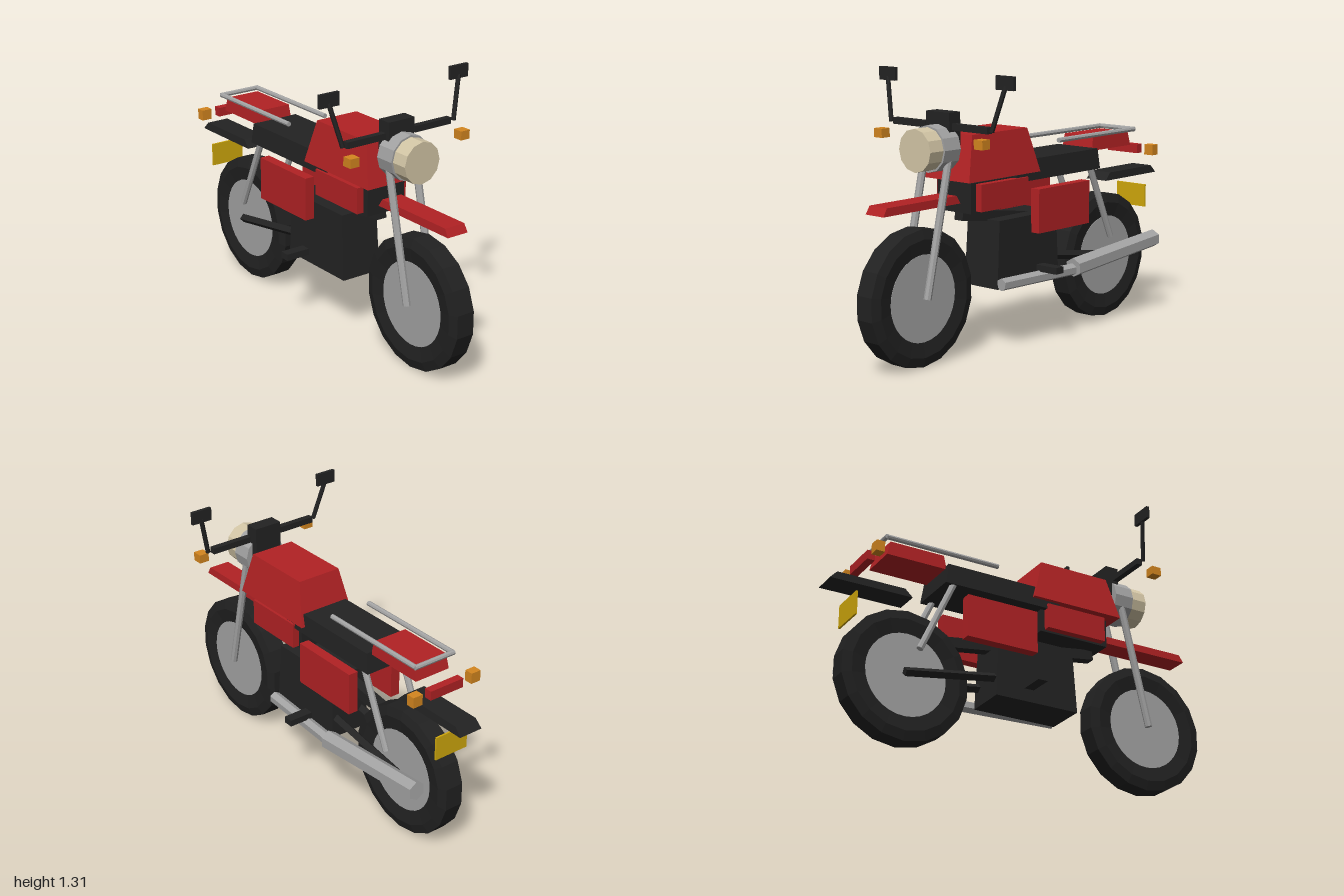
import * as THREE from 'three';

export function createModel() {
  const root = new THREE.Group();
  root.name = 'motorcycle';

  const mat = (name, color) => {
    const m = new THREE.MeshStandardMaterial({ color, flatShading: true });
    m.name = name;
    return m;
  };
  const red = mat('red paint', 0xb22224);
  const black = mat('black', 0x232323);
  const rubber = mat('tyre rubber', 0x212121);
  const silver = mat('silver metal', 0xa3a3a3);
  const orange = mat('orange lens', 0xd4861f);
  const cream = mat('cream lens', 0xd3c6a6);
  const yellow = mat('yellow plate', 0xd0a80c);

  const add = (name, geometry, material) => {
    const mesh = new THREE.Mesh(geometry, material);
    mesh.name = name;
    root.add(mesh);
    return mesh;
  };
  const box = (name, material, w, h, d, x, y, z) =>
    add(name, new THREE.BoxGeometry(w, h, d), material).position.set(x, y, z);

  // Box whose top and bottom rectangles differ: [half width, rear z, front z]
  const taper = (name, material, y0, y1, bottom, top) => {
    const g = new THREE.BoxGeometry(2, 2, 2);
    const p = g.attributes.position;
    for (let i = 0; i < p.count; i++) {
      const [hw, rear, front] = p.getY(i) > 0 ? top : bottom;
      p.setXYZ(i, p.getX(i) * hw, p.getY(i) > 0 ? y1 : y0, p.getZ(i) > 0 ? front : rear);
    }
    g.computeVertexNormals();
    return add(name, g, material);
  };

  // Straight bar between two points; four sides make a square bar
  const bar = (name, material, a, b, r, sides = 8, rEnd = r) => {
    const from = new THREE.Vector3(...a), to = new THREE.Vector3(...b);
    const dir = to.clone().sub(from);
    const mesh = add(name, new THREE.CylinderGeometry(rEnd, r, dir.length(), sides), material);
    mesh.position.copy(from).add(to).multiplyScalar(0.5);
    mesh.quaternion.setFromUnitVectors(new THREE.Vector3(0, 1, 0), dir.normalize());
    return mesh;
  };

  // Wheels
  const tyreProfile = [
    [0.18, -0.045], [0.205, -0.048], [0.27, -0.059], [0.315, -0.046],
    [0.315, 0.046], [0.27, 0.059], [0.205, 0.048], [0.18, 0.045],
  ].map(([r, w]) => new THREE.Vector2(r, w));
  for (const [name, z] of [['front', 0.69], ['rear', -0.6]]) {
    const tyre = add(name + 'Tyre', new THREE.LatheGeometry(tyreProfile, 18, Math.PI / 2), rubber);
    const disc = add(name + 'WheelDisc', new THREE.CylinderGeometry(0.2, 0.2, 0.098, 32), silver);
    for (const m of [tyre, disc]) {
      m.rotation.z = Math.PI / 2;
      m.position.set(0, 0.315, z);
    }
  }

  // Bodywork
  taper('fuelTank', red, 0.82, 1.028, [0.147, 0.013, 0.495], [0.114, 0.07, 0.44]);
  taper('seat', black, 0.78, 0.88, [0.13, -0.452, 0.163], [0.125, -0.437, 0.157]);
  taper('tailCowl', red, 0.865, 0.935, [0.095, -0.737, -0.432], [0.09, -0.72, -0.445]);
  taper('frontMudguard', red, 0.715, 0.752, [0.056, 0.457, 0.932], [0.054, 0.48, 0.91]);
  taper('rearMudguard', black, 0.695, 0.733, [0.062, -0.995, -0.585], [0.058, -0.96, -0.622]);

  // Frame and engine
  box('upperFrame', black, 0.21, 0.14, 0.37, 0, 0.738, 0.255);
  taper('engine', black, 0.29, 0.61, [0.105, -0.168, 0.265], [0.1, -0.155, 0.245]);
  bar('frameSpine', black, [0, 0.65, 0.41], [0, 0.53, -0.42], 0.036, 4).rotateY(Math.PI / 4);

  // Headlight, instruments and plate
  for (const [name, material, r, len, z] of [
    ['headlightShell', silver, 0.107, 0.1, 0.555], ['headlightLens', cream, 0.098, 0.084, 0.645],
  ]) {
    const lamp = add(name, new THREE.CylinderGeometry(r, r, len, 12), material);
    lamp.rotation.x = Math.PI / 2;
    lamp.position.set(0, 0.972, z);
  }
  box('instruments', black, 0.144, 0.15, 0.07, 0, 1.058, 0.507);
  box('tailLamp', red, 0.186, 0.045, 0.038, 0, 0.838, -0.815);
  box('numberPlate', yellow, 0.18, 0.115, 0.009, 0, 0.588, -0.874);

  // Parts mirrored on both sides
  for (const s of [1, -1]) {
    const side = s > 0 ? 'left' : 'right';
    bar(side + 'Fork', silver, [s * 0.076, 0.315, 0.692], [s * 0.076, 1.0, 0.535], 0.018);
    bar(side + 'Shock', silver, [s * 0.108, 0.425, -0.565], [s * 0.108, 0.79, -0.4], 0.016);
    bar(side + 'Swingarm', black, [s * 0.075, 0.39, -0.14], [s * 0.075, 0.315, -0.62], 0.022, 4);
    box(side + 'SidePanel', red, 0.05, 0.21, 0.37, s * 0.125, 0.631, -0.16);
    box(side + 'FrontPanel', red, 0.037, 0.125, 0.317, s * 0.122, 0.74, 0.25);
    box(side + 'FootPeg', black, 0.124, 0.032, 0.05, s * 0.188, 0.358, -0.008);
    box(side + 'Handlebar', black, 0.21, 0.03, 0.03, s * 0.188, 1.07, 0.52);
    bar(side + 'MirrorStalk', black, [s * 0.313, 1.065, 0.527], [s * 0.365, 1.265, 0.495], 0.011, 6);
    box(side + 'Mirror', black, 0.104, 0.062, 0.016, s * 0.364, 1.279, 0.494);
    box(side + 'FrontIndicator', orange, 0.05, 0.042, 0.05, s * 0.312, 1.018, 0.588);
    box(side + 'RearIndicator', orange, 0.052, 0.052, 0.042, s * 0.167, 0.84, -0.815);
    bar(side + 'RackRail', silver, [s * 0.106, 0.945, -0.165], [s * 0.106, 0.945, -0.748], 0.012);
  }
  bar('rackCrossbar', silver, [-0.112, 0.945, -0.746], [0.112, 0.945, -0.746], 0.012);

  // Exhaust on the left side
  bar('exhaustPipe', silver, [0.128, 0.318, 0.265], [0.158, 0.318, -0.24], 0.03, 6);
  bar('muffler', silver, [0.163, 0.328, -0.212], [0.165, 0.381, -0.845], 0.047, 6, 0.045);

  return root;
}
